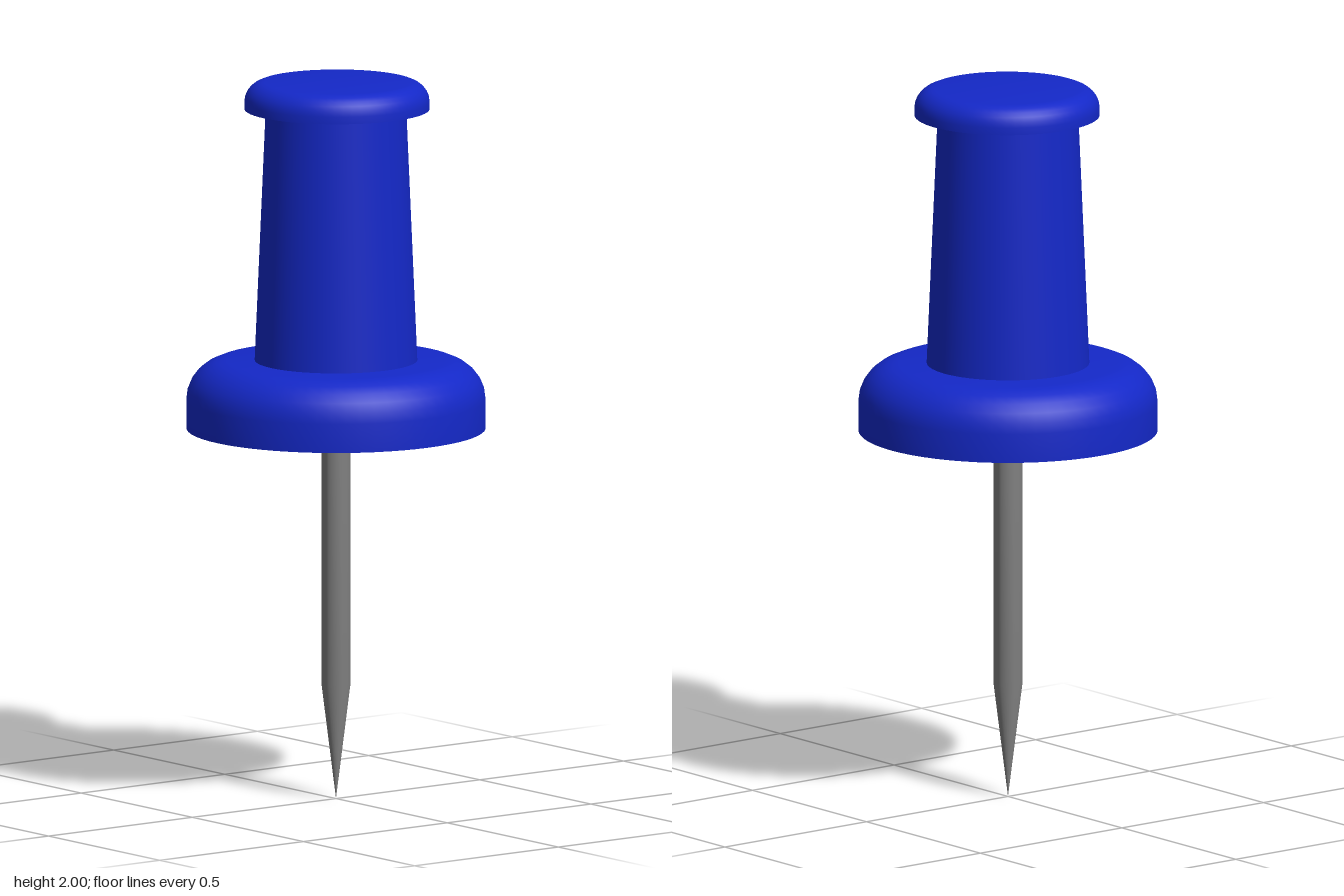
import * as THREE from 'three';
import { toCreasedNormals } from 'three/addons/utils/BufferGeometryUtils.js';

const SEGMENTS = 64;

// Solid of revolution from a bottom-to-top [radius, y] profile, keeping hard edges sharp
function turned(name, profile, material, segments = SEGMENTS) {
  const points = profile.map(([r, y]) => new THREE.Vector2(r, y));
  const geometry = toCreasedNormals(new THREE.LatheGeometry(points, segments), 0.6);
  const mesh = new THREE.Mesh(geometry, material);
  mesh.name = name;
  return mesh;
}

// Disc profile with a flat underside and a rounded upper rim
function roundedDisc(radius, bottom, top, corner, steps = 6) {
  const profile = [[0, bottom], [radius, bottom]];
  for (let i = 0; i <= steps; i++) {
    const a = (i / steps) * Math.PI / 2;
    profile.push([radius - corner + corner * Math.cos(a), top - corner + corner * Math.sin(a)]);
  }
  profile.push([0, top]);
  return profile;
}

export function createModel() {
  const model = new THREE.Group();
  model.name = 'pushPin';

  const plastic = new THREE.MeshStandardMaterial({ color: 0x1428c8 });
  const metal = new THREE.MeshStandardMaterial({ color: 0x808080 });

  // Needle with a tapered point
  model.add(turned('needle', [[0, 0], [0.04, 0.32], [0.04, 1.05]], metal, 32));

  // Wide collar above the needle
  model.add(turned('collar', roundedDisc(0.412, 1.035, 1.225, 0.11), plastic));

  // Tapered grip
  model.add(turned('grip', [[0.225, 1.2], [0.193, 1.94]], plastic));

  // Cap, very slightly off the axis
  const cap = turned('cap', roundedDisc(0.255, 1.925, 2, 0.055), plastic);
  cap.position.set(-0.002, 0, -0.005);
  model.add(cap);

  return model;
}
